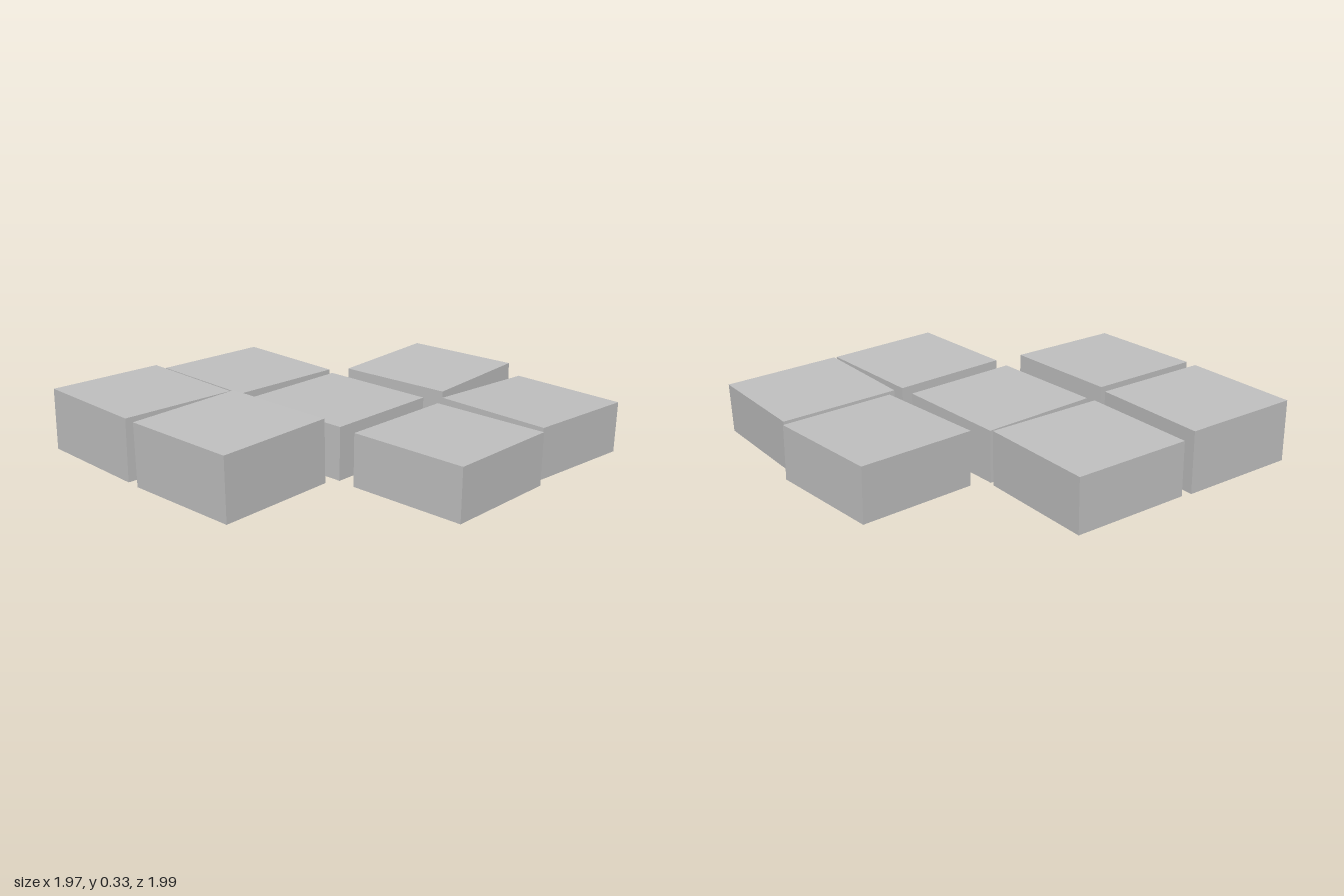
import * as THREE from 'three';

// Each slab: name, centre x, centre z, height, centre y, pitch, yaw
const SLABS = [
  ['backMiddleSlab', -0.025, -0.678, 0.27, 0.151, 0.012, 0.075],
  ['backLeftSlab', 0.652, -0.63, 0.252, 0.14, -0.033, -0.023],
  ['middleRightSlab', -0.667, 0.02, 0.27, 0.15, -0.012, -0.018],
  ['centreSlab', -0.022, 0.022, 0.26, 0.145, -0.014, 0.036],
  ['middleLeftSlab', 0.675, 0.01, 0.257, 0.144, -0.018, 0.034],
  ['frontRightSlab', -0.679, 0.684, 0.307, 0.168, -0.013, -0.026],
  ['frontMiddleSlab', -0.033, 0.684, 0.312, 0.171, 0.01, 0.026],
];

export function createModel() {
  const model = new THREE.Group();
  model.name = 'pavingSlabs';
  const grey = new THREE.MeshStandardMaterial({ color: 0xc0c0c0 });
  grey.name = 'stone grey';

  // Loose grid of square slabs, each slightly turned and tipped
  for (const [name, x, z, height, y, pitch, yaw] of SLABS) {
    const slab = new THREE.Mesh(new THREE.BoxGeometry(0.6, height, 0.6), grey);
    slab.name = name;
    slab.rotation.set(pitch, yaw, 0, 'YXZ');
    slab.position.set(x, y, z);
    model.add(slab);
  }
  return model;
}
